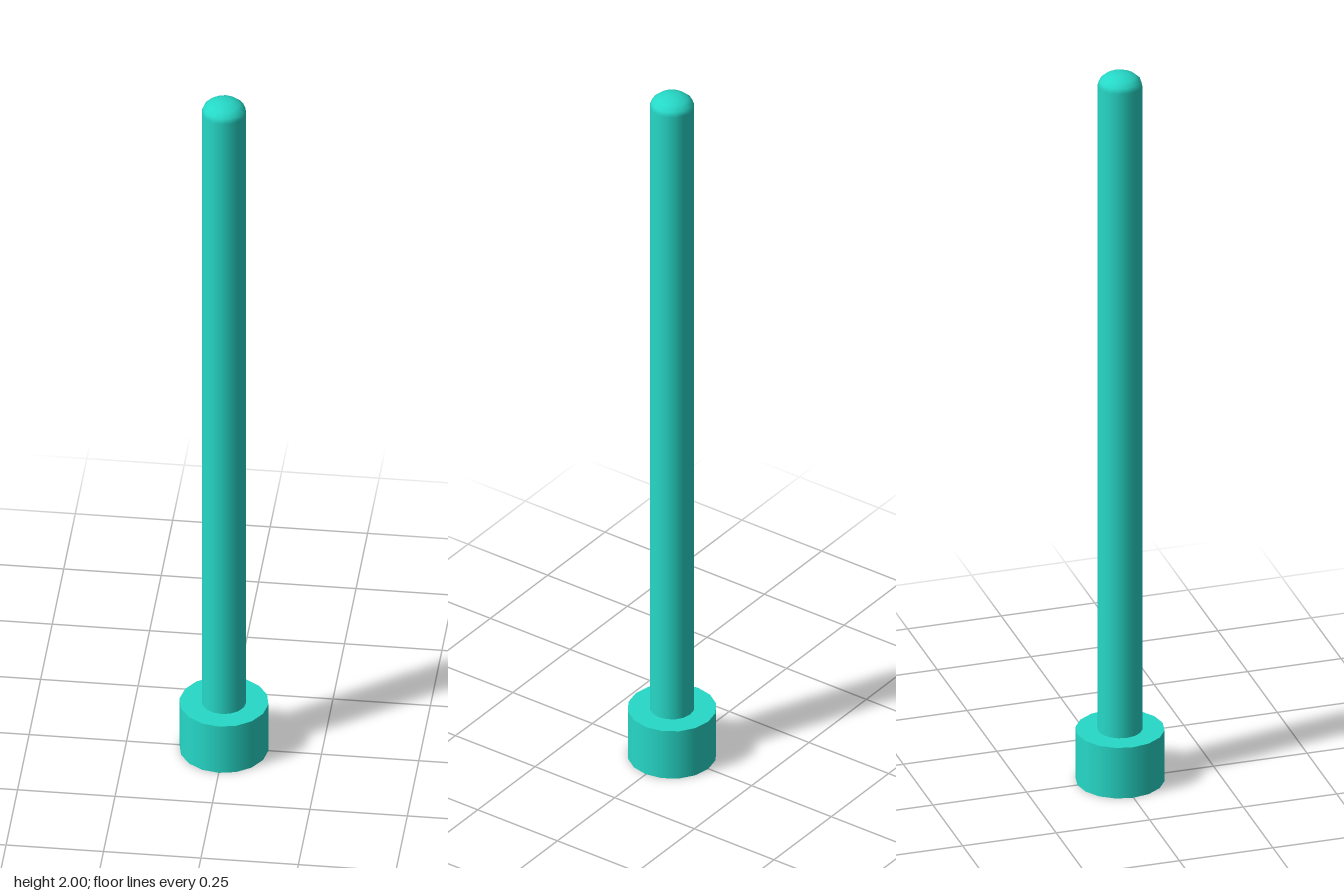
import * as THREE from 'three';

const SIDES = 16;
const BASE_R = 0.114, BASE_H = 0.143;
const SHAFT_R = 0.057, DOME_H = 0.034, TOP = 2;

export function createModel() {
  const group = new THREE.Group();
  group.name = 'post';
  const material = new THREE.MeshStandardMaterial({ color: 0x26d9c8 });

  const add = (name, geometry, y) => {
    const mesh = new THREE.Mesh(geometry, material);
    mesh.name = name;
    mesh.position.y = y;
    group.add(mesh);
    return mesh;
  };

  // Wide round foot
  add('base', new THREE.CylinderGeometry(BASE_R, BASE_R, BASE_H, SIDES), BASE_H / 2);

  // Long shaft, open at both ends where it meets the base and the cap
  const shaftH = TOP - DOME_H - BASE_H;
  add('shaft', new THREE.CylinderGeometry(SHAFT_R, SHAFT_R, shaftH, SIDES, 1, true), BASE_H + shaftH / 2);

  // Flattened half-sphere cap
  const dome = new THREE.SphereGeometry(SHAFT_R, SIDES, 4, 0, Math.PI * 2, 0, Math.PI / 2);
  dome.scale(1, DOME_H / SHAFT_R, 1);
  add('roundedTip', dome, TOP - DOME_H);

  return group;
}
